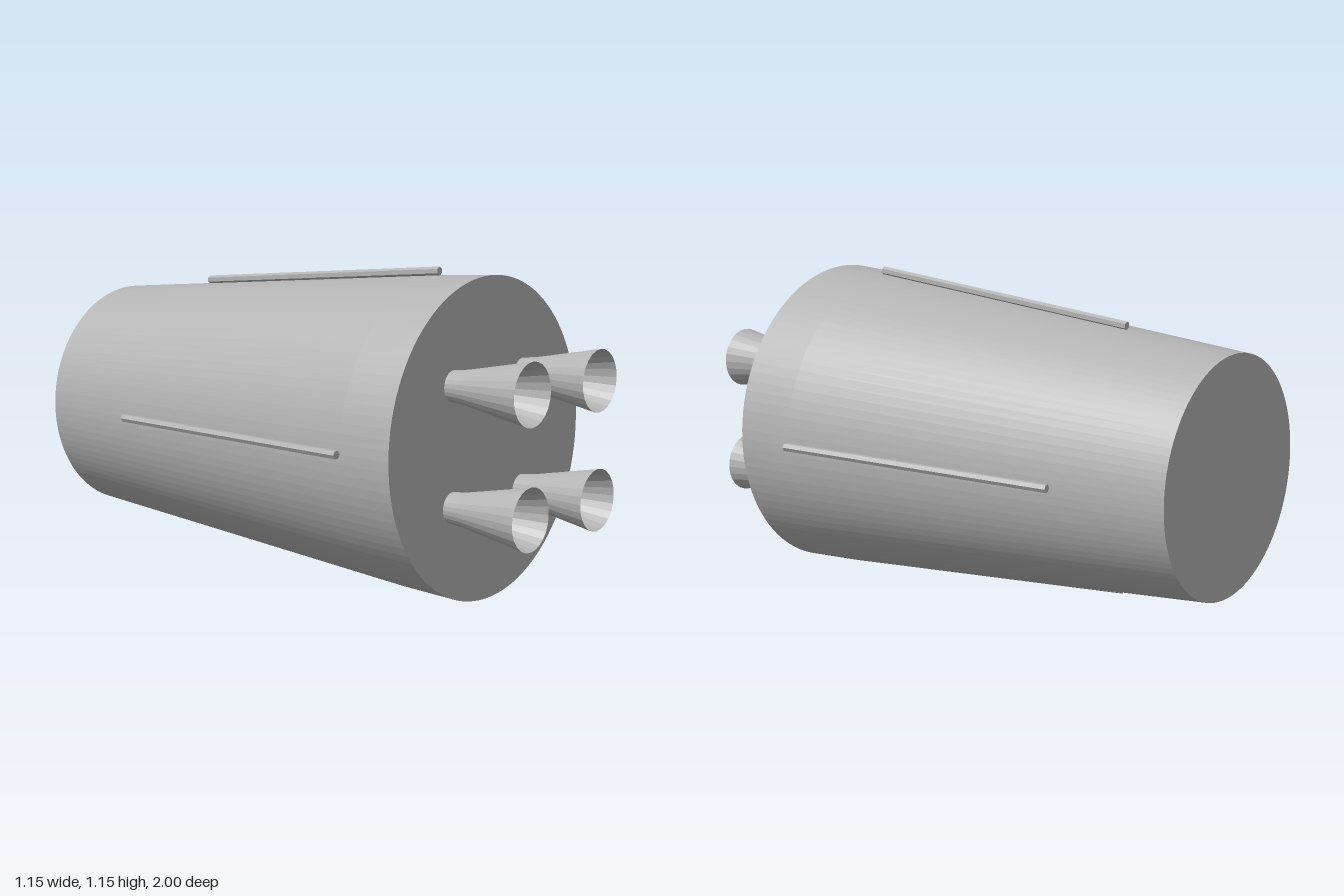
import * as THREE from 'three';

const CENTER_Y = 0.575;

// Solid of revolution from [radius, z] pairs, turned so its axis lies along z
function revolve(profile, segments) {
  const points = profile.map(([r, z]) => new THREE.Vector2(r, z));
  return new THREE.LatheGeometry(points, segments).rotateX(Math.PI / 2);
}

export function createModel() {
  const group = new THREE.Group();
  const grey = new THREE.MeshStandardMaterial({ color: 0xb3b3b3, flatShading: true });
  grey.name = 'grey metal';

  const add = (name, geometry) => {
    const mesh = new THREE.Mesh(geometry, grey);
    mesh.name = name;
    group.add(mesh);
    return mesh;
  };

  // Tapered hull with a slight flare change near the engine end
  add('hull', revolve([[0, -1], [0.42, -1], [0.545, 0.48], [0.557, 0.69], [0, 0.69]], 100))
    .position.y = CENTER_Y;

  // Four hollow engine bells, each closed by a small throat disc
  const bell = revolve([
    [0.053, 0.68], [0.054, 0.7], [0.06, 0.75], [0.108, 1], [0.036, 0.7], [0, 0.7],
  ], 24);
  for (const x of [-0.205, 0.205]) {
    for (const y of [-0.205, 0.205]) {
      add('engineBell', bell).position.set(x, CENTER_Y + y, 0);
    }
  }

  // Four hexagonal rails following the taper of the hull
  const front = new THREE.Vector3(0, 0.56, 0.48);
  const back = new THREE.Vector3(0, 0.469, -0.585);
  const along = front.clone().sub(back);
  const rail = new THREE.CylinderGeometry(0.015, 0.015, along.length(), 6)
    .rotateX(Math.atan2(along.z, along.y))
    .translate(0, (front.y + back.y) / 2, (front.z + back.z) / 2);
  for (let i = 0; i < 4; i++) {
    const mesh = add('rail', rail);
    mesh.position.y = CENTER_Y;
    mesh.rotation.z = (i * Math.PI) / 2;
  }

  return group;
}
